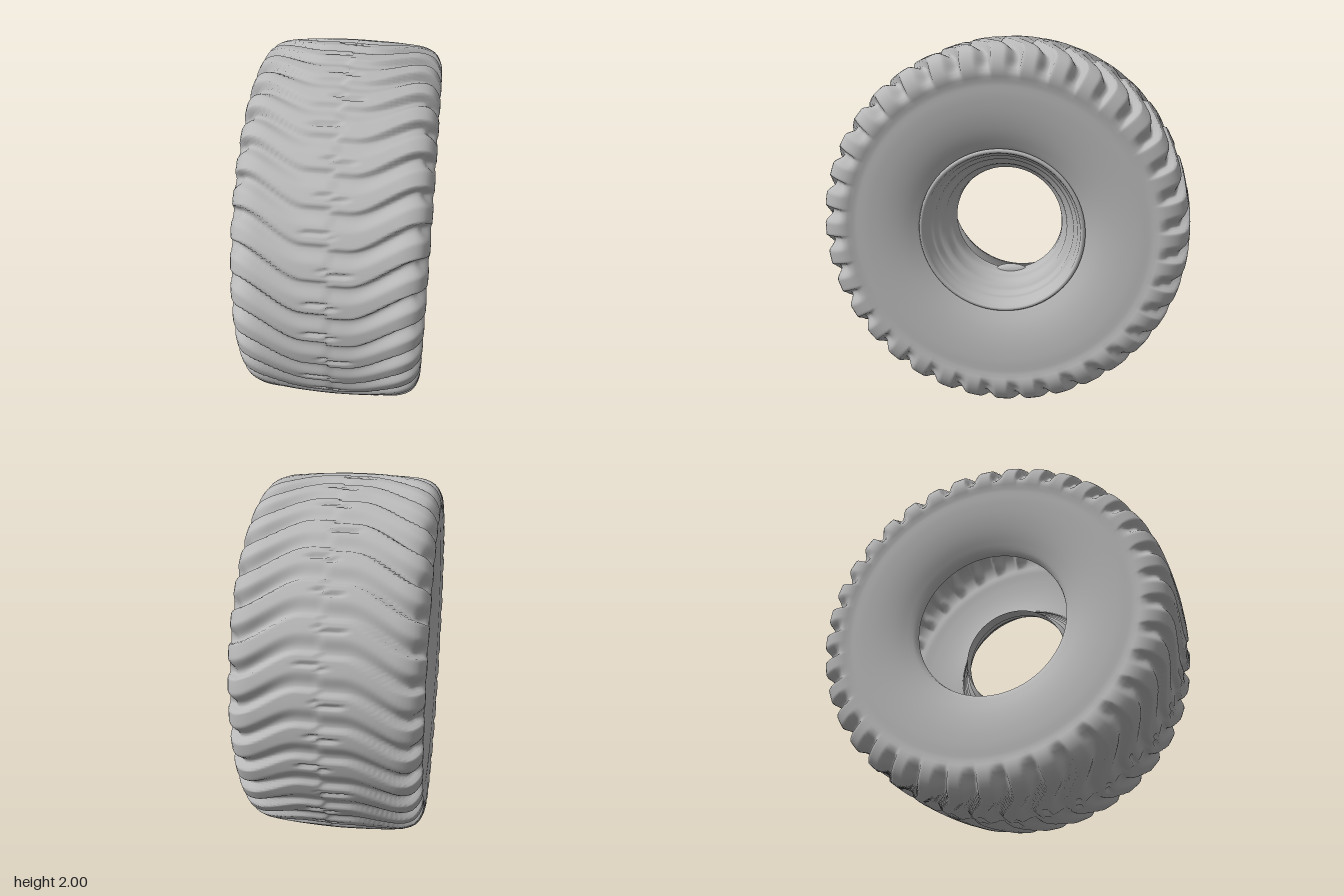
import * as THREE from 'three';

const LUGS = 36;
const smooth = (a, b, v) => THREE.MathUtils.smoothstep(v, a, b);

// Half profile of the tyre as (x, radius), from bead to crown
const HALF = [
  [0.35, 0.42], [0.375, 0.425], [0.395, 0.46], [0.425, 0.53], [0.448, 0.62], [0.46, 0.72],
  [0.463, 0.805], [0.472, 0.825], [0.474, 0.86], [0.462, 0.905], [0.43, 0.95],
  [0.37, 0.977], [0.28, 0.988], [0.15, 0.996],
];

// Depth of the chevron grooves at a point of the carcass
function grooveDepth(x, r, theta) {
  const ax = Math.abs(x);
  const chevron = 0.15 * smooth(0.1, 0.45, ax);
  const stagger = x > 0 ? 0.02 : 0;
  const phase = ((theta + chevron - stagger) * LUGS) / (2 * Math.PI);
  const t = phase - Math.floor(phase);
  // steep leading wall, gentle run-out
  const groove = smooth(0, 0.13, t) * (1 - smooth(0.2, 0.6, t));
  const depth = THREE.MathUtils.lerp(0.02, 0.042, smooth(0.1, 0.42, ax));
  // short slits along the crown, differing from lug to lug
  const k = Math.floor(phase);
  const mid = 0.05 * Math.sin(k * 2.3);
  const slit = smooth(0.66, 0.71, t) * (1 - smooth(0.76, 0.84, t)) * (1 - smooth(0.05, 0.09, Math.abs(x - mid)));
  return (groove * depth + slit * 0.014) * smooth(0.825, 0.9, r);
}

function tyreGeometry() {
  const points = [
    ...HALF.map(([x, r]) => new THREE.Vector3(-x, r, 0)),
    new THREE.Vector3(0, 1, 0),
    ...HALF.map(([x, r]) => new THREE.Vector3(x, r, 0)).reverse(),
  ];
  const curve = new THREE.CatmullRomCurve3(points, false, 'centripetal');
  const rows = 84, cols = LUGS * 18;
  const position = [], index = [];
  for (let i = 0; i <= rows; i++) {
    const p = curve.getPointAt(i / rows);
    const d = curve.getTangentAt(i / rows);
    for (let j = 0; j < cols; j++) {
      // theta runs from the top over the front to the bottom
      const theta = (j / cols) * Math.PI * 2;
      const g = grooveDepth(p.x, p.y, theta);
      const x = p.x + d.y * g;
      const r = p.y - d.x * g;
      position.push(x, r * Math.cos(theta), r * Math.sin(theta));
      if (i < rows) {
        const a = i * cols + j, b = i * cols + ((j + 1) % cols);
        index.push(a, a + cols, b, b, a + cols, b + cols);
      }
    }
  }
  const geometry = new THREE.BufferGeometry();
  geometry.setAttribute('position', new THREE.Float32BufferAttribute(position, 3));
  geometry.setIndex(index);
  geometry.computeVertexNormals();
  return geometry;
}

// Stepped rim as (radius, x), from the outer flange to the open inner end
const RIM = [
  [0.422, 0.35], [0.437, 0.375], [0.445, 0.4], [0.438, 0.415], [0.425, 0.413], [0.418, 0.395],
  [0.416, 0.37], [0.402, 0.362], [0.398, 0.34], [0.39, 0.33], [0.378, 0.326], [0.373, 0.29],
  [0.362, 0.275], [0.345, 0.27], [0.337, 0.25], [0.334, 0.2], [0.318, 0.185], [0.306, 0.175],
  [0.302, 0.15], [0.3, 0.09],
];

export function createModel() {
  const model = new THREE.Group();
  model.name = 'wheel';
  const grey = new THREE.MeshStandardMaterial({ color: 0xb8b8b8, side: THREE.DoubleSide });
  grey.name = 'light grey';

  const wheel = new THREE.Group();
  wheel.name = 'tyreAndRim';
  wheel.position.y = 1;
  model.add(wheel);

  const add = (name, geometry) => {
    const mesh = new THREE.Mesh(geometry, grey);
    mesh.name = name;
    wheel.add(mesh);
    return mesh;
  };

  // Hollow tyre with chevron tread
  add('tyre', tyreGeometry());

  // One-sided rim on the +x face
  const rim = new THREE.LatheGeometry(RIM.map(([r, x]) => new THREE.Vector2(r, x)), 96);
  rim.rotateZ(-Math.PI / 2);
  add('rim', rim);

  // Low bump on the floor of the rim barrel
  const bump = add('rimBump', new THREE.SphereGeometry(1, 24, 12));
  bump.scale.set(0.03, 0.035, 0.09);
  bump.position.set(0.12, -0.302, -0.02);

  return model;
}
